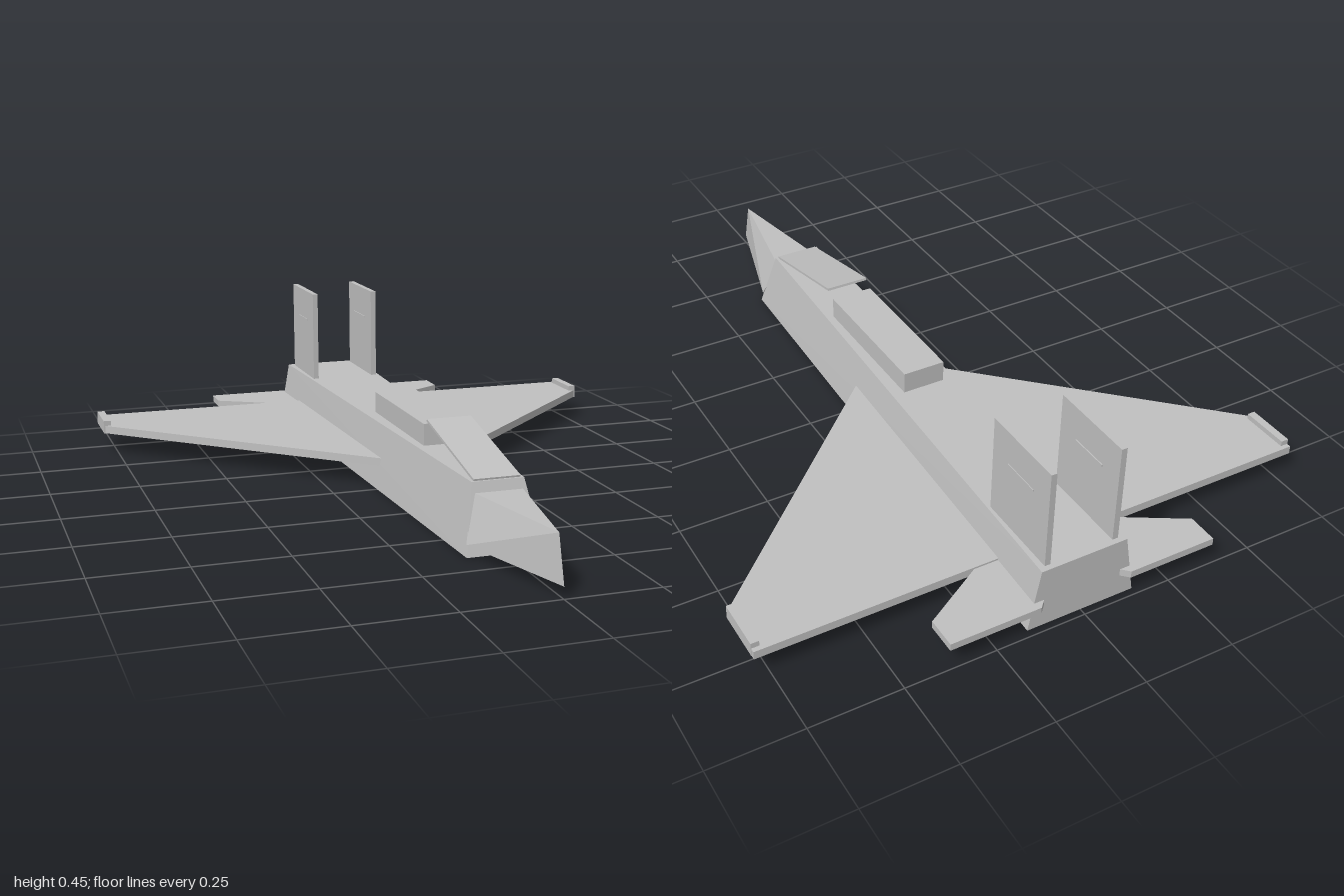
import * as THREE from 'three';
import { ConvexGeometry } from 'three/addons/geometries/ConvexGeometry.js';

export function createModel() {
  const model = new THREE.Group();
  model.name = 'jetAircraft';
  const grey = new THREE.MeshStandardMaterial({ color: 0xc0c0c0 });
  grey.name = 'light grey';

  const add = (name, geometry) => {
    const mesh = new THREE.Mesh(geometry, grey);
    mesh.name = name;
    model.add(mesh);
    return mesh;
  };

  // Box given by its minimum and maximum on each axis
  const box = (name, x0, x1, y0, y1, z0, z1) =>
    add(name, new THREE.BoxGeometry(x1 - x0, y1 - y0, z1 - z0))
      .position.set((x0 + x1) / 2, (y0 + y1) / 2, (z0 + z1) / 2);

  // Faceted solid from [half width, y, z] points mirrored in x
  const hull = (name, points) =>
    add(name, new ConvexGeometry(points.flatMap(([x, y, z]) => x === 0
      ? [new THREE.Vector3(0, y, z)]
      : [new THREE.Vector3(x, y, z), new THREE.Vector3(-x, y, z)])));

  // Flat slab from an [x, z] outline, on the given side
  const slab = (name, side, outline, y, thickness) => {
    const shape = new THREE.Shape(outline.map(([x, z]) => new THREE.Vector2(side * x, -z)));
    const geometry = new THREE.ExtrudeGeometry(shape, { depth: thickness, bevelEnabled: false });
    add(name, geometry.rotateX(-Math.PI / 2).translate(0, y, 0));
  };

  // Body tapering forward, with a sloping front face
  hull('fuselage', [
    [0.102, 0, 0.655], [0.07, 0.175, 0.6],
    [0.153, 0, -0.98], [0.122, 0.175, -0.98],
  ]);

  // Nose narrowing to a raked vertical edge
  hull('nose', [
    [0.1, 0.03, 0.645], [0.066, 0.148, 0.595],
    [0, 0.03, 1], [0, 0.148, 0.967],
  ]);

  // Raised canopy plate, hinged at the front
  const rise = 0.075, run = 0.345;
  const canopy = add('canopy', new THREE.BoxGeometry(0.125, 0.007, Math.hypot(rise, run)));
  canopy.position.set(0, 0.214, 0.422);
  canopy.rotation.x = Math.atan2(rise, run);

  box('spine', -0.061, 0.061, 0.17, 0.235, -0.205, 0.222);

  for (const side of [1, -1]) {
    const label = side > 0 ? 'left' : 'right';
    const sideBox = (name, x0, x1, ...rest) =>
      box(label + name, Math.min(side * x0, side * x1), Math.max(side * x0, side * x1), ...rest);

    slab(label + 'Wing', side,
      [[0.1, 0], [0.79, -0.66], [0.79, -0.81], [0.1, -0.81]], 0.064, 0.023);
    slab(label + 'Tailplane', side,
      [[0.1, -0.75], [0.38, -0.915], [0.38, -1], [0.13, -1], [0.1, -0.97]], 0.062, 0.02);
    sideBox('WingTip', 0.769, 0.791, 0.064, 0.102, -0.797, -0.657);

    // Upright fin with a thin rib on both faces
    sideBox('Fin', 0.089, 0.105, 0.17, 0.45, -0.965, -0.722);
    sideBox('FinRib', 0.086, 0.107, 0.354, 0.36, -0.9, -0.79);
  }

  return model;
}
